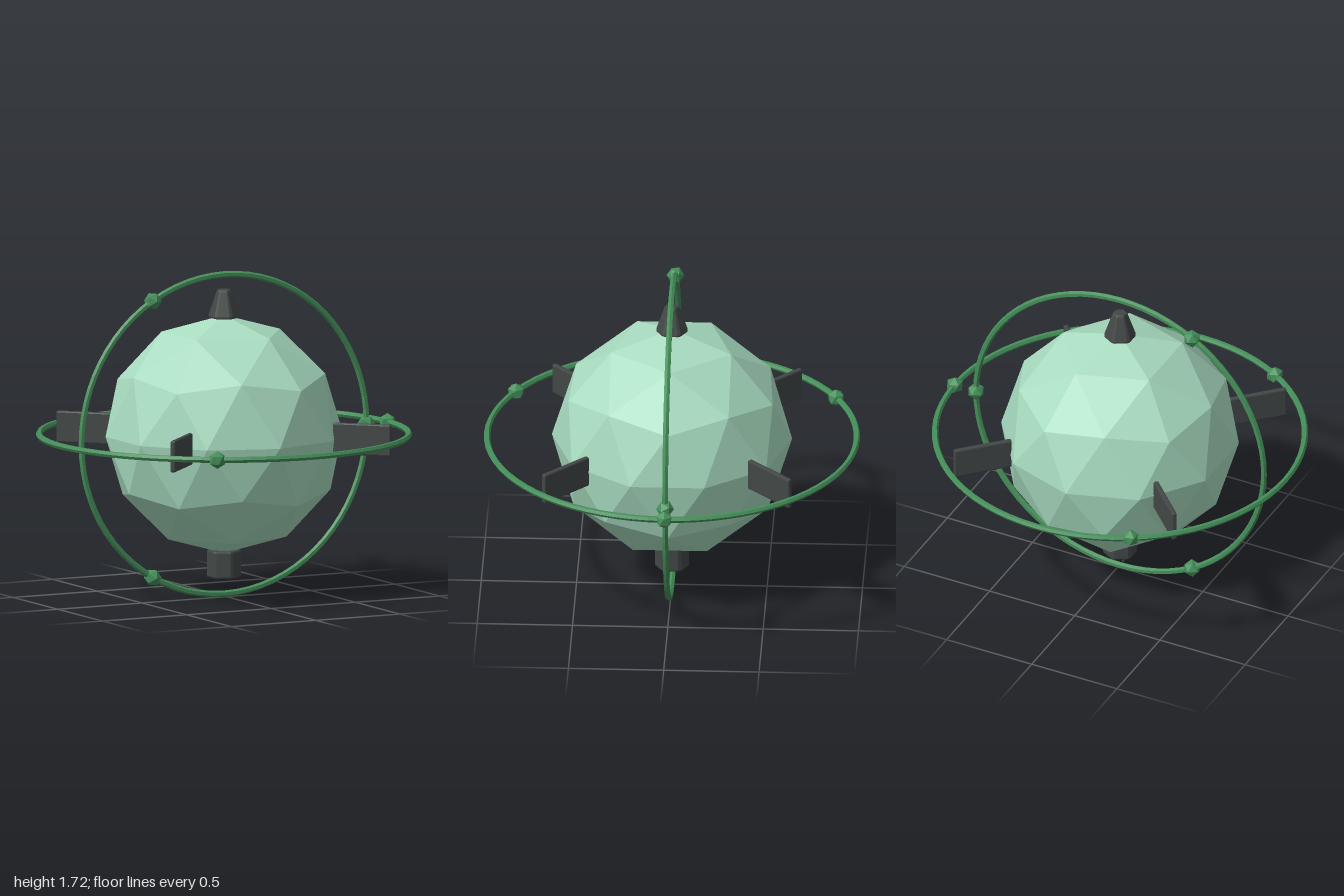
import * as THREE from 'three';
import { RoundedBoxGeometry } from 'three/addons/geometries/RoundedBoxGeometry.js';

const CX = -0.0135, CY = 0.862; // centre of the globe and both rings

const paint = (color) => new THREE.MeshStandardMaterial({ color, flatShading: true });

function addMesh(parent, name, geometry, material, x = 0, y = 0, z = 0) {
  const mesh = new THREE.Mesh(geometry, material);
  mesh.name = name;
  mesh.position.set(x, y, z);
  parent.add(mesh);
  return mesh;
}

// Low-poly sphere turned so that one of its five-sided corners points up
function poleSphere(radius, detail) {
  const tilt = Math.atan(2 / (1 + Math.sqrt(5)));
  return new THREE.IcosahedronGeometry(radius, detail).rotateZ(-tilt);
}

// Hexagonal post with chamfered edges, standing on y = 0, narrowing to topScale
function hexPost(radius, height, bevel, topScale) {
  const inner = radius - bevel;
  const points = [];
  for (let i = 0; i < 6; i++) {
    for (const side of [-1, 1]) {
      const a = Math.PI / 6 + i * Math.PI / 3 + side * 0.09;
      points.push(new THREE.Vector2(inner * Math.cos(a), inner * Math.sin(a)));
    }
  }
  const geometry = new THREE.ExtrudeGeometry(new THREE.Shape(points), {
    depth: height - 2 * bevel, bevelEnabled: true,
    bevelThickness: bevel, bevelSize: bevel, bevelSegments: 2,
  });
  geometry.translate(0, 0, bevel).rotateX(-Math.PI / 2);
  const p = geometry.attributes.position;
  for (let i = 0; i < p.count; i++) {
    const s = 1 + (topScale - 1) * p.getY(i) / height;
    p.setXYZ(i, p.getX(i) * s, p.getY(i), p.getZ(i) * s);
  }
  geometry.computeVertexNormals();
  return geometry;
}

// Thin ring in the xy plane carrying three evenly spaced beads
function makeRing(name, radius, material) {
  const ring = new THREE.Group();
  ring.name = name;
  addMesh(ring, name + 'Band', new THREE.TorusGeometry(radius, 0.017, 6, 72), material);
  const bead = poleSphere(0.047, 0).rotateX(Math.PI / 2);
  for (let i = 0; i < 3; i++) {
    const a = i * Math.PI * 2 / 3;
    addMesh(ring, name + 'Bead', bead, material, radius * Math.cos(a), radius * Math.sin(a), 0);
  }
  ring.position.set(CX, CY, 0);
  return ring;
}

export function createModel() {
  const model = new THREE.Group();
  model.name = 'ringedGlobe';
  const mint = paint(0xa8dcc0), green = paint(0x458f5a), dark = paint(0x424746);

  // Faceted globe
  addMesh(model, 'globe', poleSphere(0.63, 1), mint, CX, CY, 0);

  // Upright and level rings
  model.add(makeRing('uprightRing', 0.845, green));
  const level = makeRing('levelRing', 0.9695, green);
  level.rotation.x = -Math.PI / 2;
  model.add(level);

  // Tapered cap on top and straight post below
  addMesh(model, 'topCap', hexPost(0.086, 0.15, 0.012, 0.42), dark, CX, 1.478, 0);
  addMesh(model, 'bottomPost', hexPost(0.09, 0.145, 0.01, 1), dark, CX, 0.105, 0);

  // Four diagonal fins around the equator
  const fins = new THREE.Group();
  fins.name = 'fins';
  fins.position.set(CX, CY + 0.003, 0);
  const finShape = new RoundedBoxGeometry(0.317, 0.167, 0.028, 1, 0.008);
  finShape.translate(0.758, 0, 0);
  for (let i = 0; i < 4; i++) {
    addMesh(fins, 'fin', finShape, dark).rotation.y = Math.PI / 4 + i * Math.PI / 2;
  }
  model.add(fins);
  return model;
}
